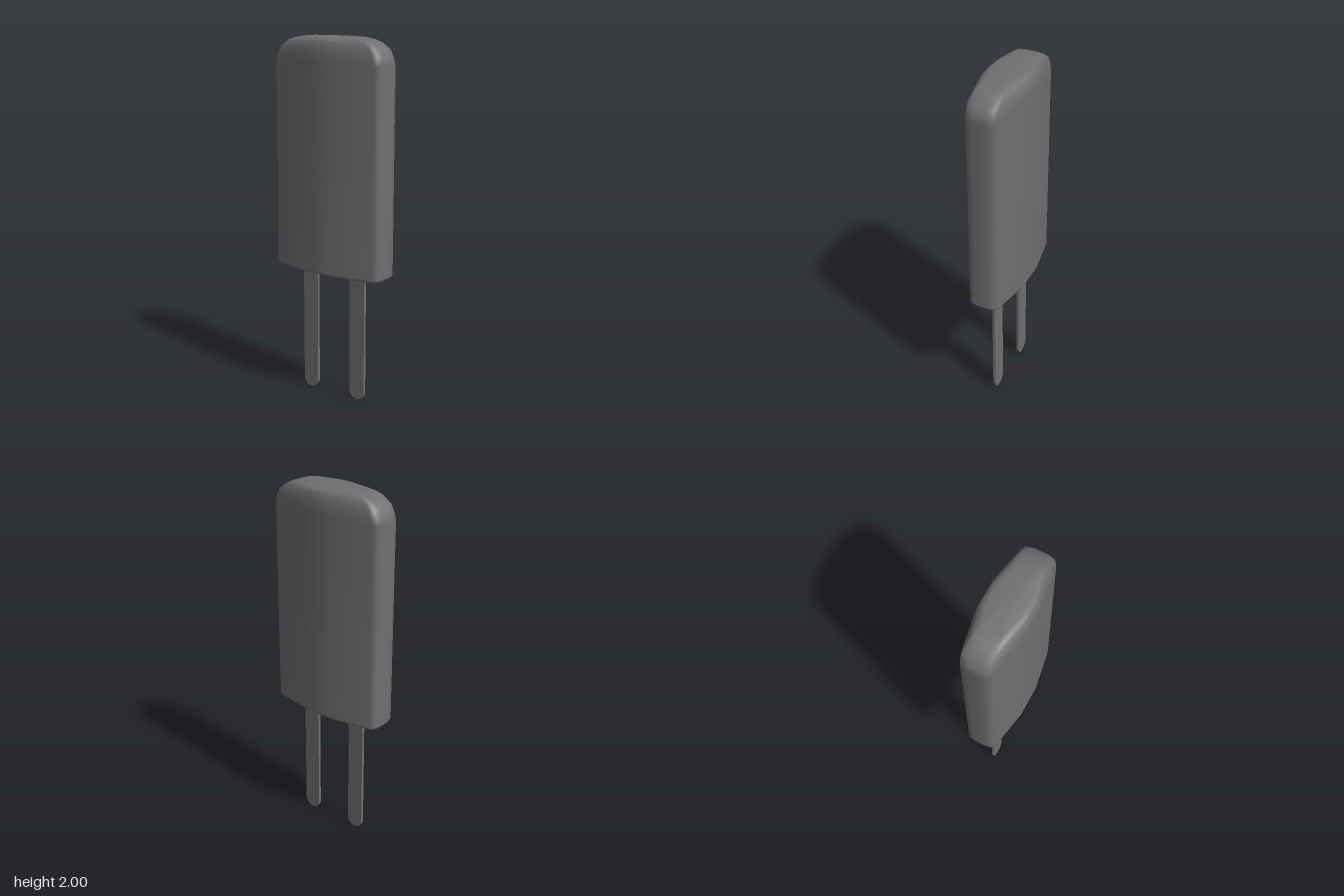
import * as THREE from 'three';

const material = new THREE.MeshStandardMaterial({ color: 0x707070 });

// Quarter of the body's plan outline, as [x, z]
const quarter = [[0.087, 0.127], [0.315, 0.087], [0.339, 0.072], [0.348, 0.036]];
const mirrored = (sx, sz) => quarter.map(([x, z]) => [x * sx, z * sz]);
const plan = [
  ...mirrored(1, 1),
  ...mirrored(1, -1).reverse(),
  ...mirrored(-1, -1),
  ...mirrored(-1, 1).reverse(),
];

// Body levels from bottom to top: [height, half width, half depth]
const levels = [
  [0.72, 0.325, 0.105], [0.726, 0.34, 0.12], [0.742, 0.348, 0.127],
  [1.865, 0.348, 0.127], [1.9, 0.337, 0.127], [1.94, 0.317, 0.126],
  [1.976, 0.267, 0.117], [1.99, 0.225, 0.106], [2.0, 0.175, 0.085],
];

function bodyGeometry() {
  const positions = [];
  const index = [];
  const n = plan.length;
  for (const [y, w, d] of levels) {
    for (const [x, z] of plan) positions.push(x * w / 0.348, y, z * d / 0.127);
  }
  const last = (levels.length - 1) * n;
  const bottom = levels.length * n;
  positions.push(0, levels[0][0], 0, 0, levels[levels.length - 1][0], 0);
  for (let j = 0; j < n; j++) {
    const k = (j + 1) % n;
    for (let row = 0; row < last; row += n) {
      index.push(row + j, row + k, row + n + k, row + j, row + n + k, row + n + j);
    }
    // End caps
    index.push(bottom, k, j, bottom + 1, last + j, last + k);
  }
  const geometry = new THREE.BufferGeometry();
  geometry.setAttribute('position', new THREE.Float32BufferAttribute(positions, 3));
  geometry.setIndex(index);
  geometry.computeVertexNormals();
  return geometry;
}

// Thin flat lead with a rounded lower end
function leadGeometry() {
  const r = 0.049, thickness = 0.016;
  const shape = new THREE.Shape();
  shape.moveTo(r, 0.74);
  shape.lineTo(-r, 0.74);
  shape.lineTo(-r, r);
  shape.absarc(0, r, r, Math.PI, Math.PI * 2, false);
  shape.closePath();
  return new THREE.ExtrudeGeometry(shape, { depth: thickness, bevelEnabled: false, curveSegments: 10 })
    .translate(0, 0, -thickness / 2);
}

export function createModel() {
  const model = new THREE.Group();
  model.name = 'twoLeadComponent';

  const body = new THREE.Mesh(bodyGeometry(), material);
  body.name = 'body';
  model.add(body);

  const geometry = leadGeometry();
  for (const side of [1, -1]) {
    const lead = new THREE.Mesh(geometry, material);
    lead.name = side > 0 ? 'leftLead' : 'rightLead';
    lead.position.x = side * 0.16;
    model.add(lead);
  }
  return model;
}
